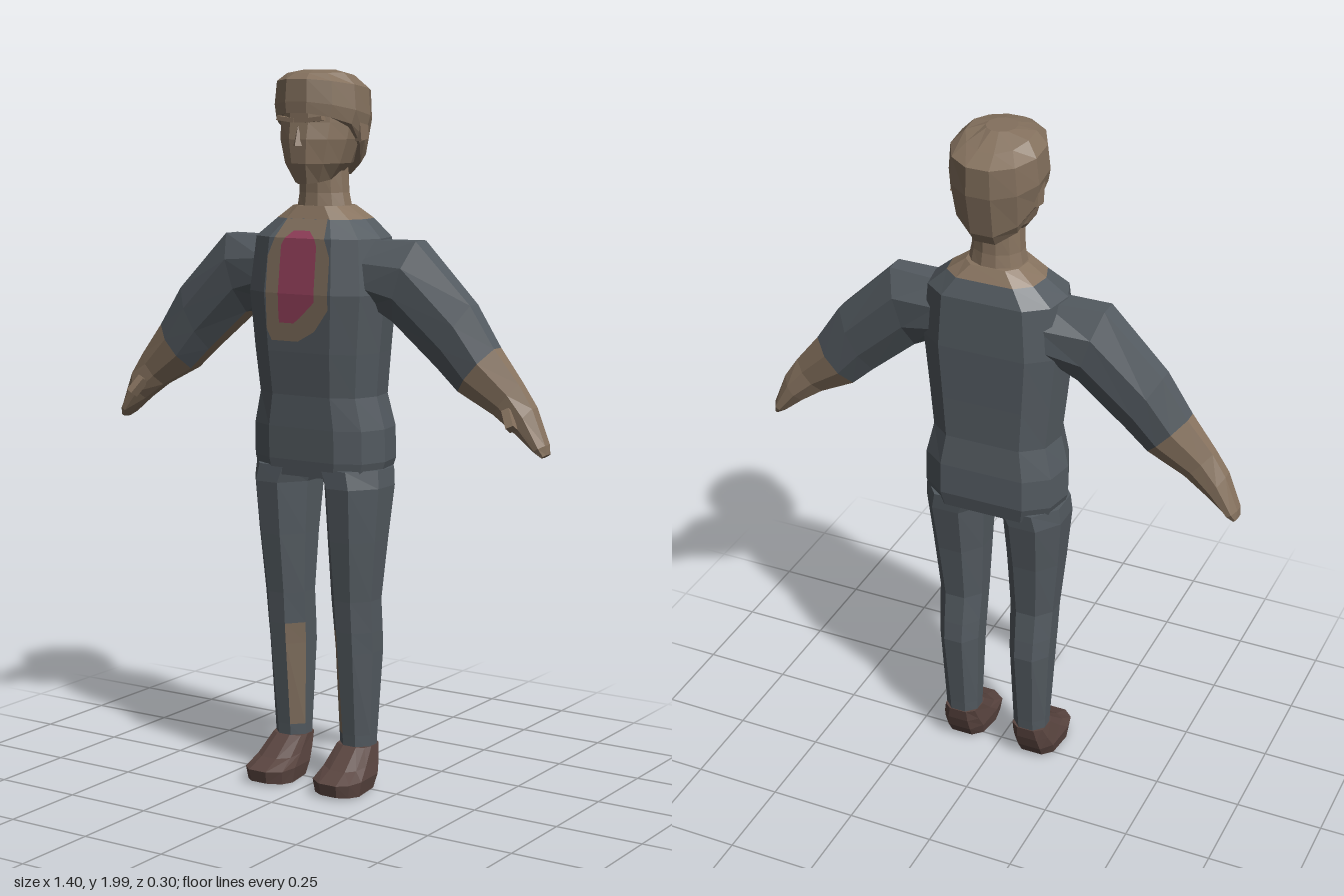
import * as THREE from 'three';

const mat = (name, color) => {
  const m = new THREE.MeshStandardMaterial({ color });
  m.name = name;
  return m;
};

// Cross-sections as [x, z] factors, running from +x towards +z
const BODY = [[1, .1], [.86, .72], [.52, 1], [-.52, 1], [-.86, .72], [-1, .1], [-.92, -.6], [-.6, -1], [.6, -1], [.92, -.6]];
const LEG = [[1, .35], [.4, 1], [-.4, 1], [-1, .35], [-1, -.4], [-.45, -1], [.45, -1], [1, -.4]];
const SHOE = [[1, .3], [.85, .75], [.45, 1], [-.35, 1], [-.9, .72], [-1, .2], [-.9, -.65], [-.5, -1], [.5, -1], [.9, -.65]];
const ROUND = Array.from({ length: 12 }, (_, j) => {
  const a = (j + .5) * Math.PI / 6;
  return [Math.cos(a) / .966, Math.sin(a) / .966];
});

// Ring around the y axis; the height may differ at the front and the back
function ring(section, y, cx, half, front, back, yFront = y, yBack = y) {
  return section.map(([sx, sz]) => new THREE.Vector3(
    cx + sx * half,
    sz > 0 ? y + (yFront - y) * sz : y - (yBack - y) * sz,
    (front + back) / 2 + sz * (front - back) / 2));
}

// Closed faceted skin over rings; pick(i, j) gives the material index of a face
function loft(name, rings, materials, pick = () => 0) {
  const lists = materials.map(() => []);
  const n = rings[0].length, last = rings.length - 1;
  let volume = 0;
  const tri = (m, a, b, c) => {
    volume += a.dot(b.clone().cross(c));
    lists[m].push([a, b, c]);
  };
  for (let i = 0; i < last; i++) {
    for (let j = 0; j < n; j++) {
      const k = (j + 1) % n, m = pick(i, j);
      tri(m, rings[i][j], rings[i + 1][j], rings[i + 1][k]);
      tri(m, rings[i][j], rings[i + 1][k], rings[i][k]);
    }
  }
  const centre = r => r.reduce((s, p) => s.add(p), new THREE.Vector3()).divideScalar(n);
  const c0 = centre(rings[0]), c1 = centre(rings[last]);
  for (let j = 0; j < n; j++) {
    const k = (j + 1) % n;
    tri(pick(-1, j), c0, rings[0][j], rings[0][k]);
    tri(pick(last, j), c1, rings[last][k], rings[last][j]);
  }
  const points = [], geo = new THREE.BufferGeometry();
  lists.forEach((list, m) => {
    geo.addGroup(points.length, list.length * 3, m);
    for (const [a, b, c] of list) points.push(a, ...(volume < 0 ? [c, b] : [b, c]));
  });
  geo.setFromPoints(points);
  geo.computeVertexNormals();
  const mesh = new THREE.Mesh(geo, materials);
  mesh.name = name;
  return mesh;
}

// Torso rows: height, half width, front z, back z
const TORSO = [
  [.895, .19, .095, -.13], [.94, .204, .1, -.14], [1.03, .203, .102, -.138], [1.12, .18, .102, -.128],
  [1.24, .192, .113, -.13], [1.4, .208, .121, -.134], [1.55, .192, .105, -.13], [1.6, .135, .065, -.11],
  [1.635, .082, .05, -.088]];

function frontZ(y) {
  const i = Math.max(1, TORSO.findIndex(r => r[0] >= y));
  const [a, b] = [TORSO[i - 1], TORSO[i]];
  return a[2] + (b[2] - a[2]) * (y - a[0]) / (b[0] - a[0]);
}

// Thin patch lying on the chest; rows are height, left x, right x
function chestPatch(name, rows, lift, material) {
  const pts = [];
  for (let i = 0; i + 1 < rows.length; i++) {
    const [a, b, c, d] = [[rows[i], 1], [rows[i], 2], [rows[i + 1], 2], [rows[i + 1], 1]]
      .map(([r, s]) => new THREE.Vector3(r[s], r[0], frontZ(r[0]) + lift));
    pts.push(a, b, c, a, c, d);
  }
  const geo = new THREE.BufferGeometry().setFromPoints(pts);
  geo.computeVertexNormals();
  const mesh = new THREE.Mesh(geo, material);
  mesh.name = name;
  return mesh;
}

export function createModel() {
  const model = new THREE.Group();
  model.name = 'person';
  const suit = mat('suit grey', 0x535a60);
  const skin = mat('skin brown', 0x87735f);
  const hair = mat('hair brown', 0x83705d);
  const shoe = mat('shoe brown', 0x5a4540);
  const sole = mat('sole grey', 0x464a4f);
  const patch = mat('patch tan', 0x7d6c5b);
  const pink = mat('emblem pink', 0x923f5a);

  const box = (name, w, h, d, x, y, z, material, rz = 0, rx = 0) => {
    const m = new THREE.Mesh(new THREE.BoxGeometry(w, h, d), material);
    m.position.set(x, y, z);
    m.rotation.set(rx, 0, rz);
    m.name = name;
    model.add(m);
  };

  // Torso with a bare collar
  model.add(loft('torso', TORSO.map(([y, w, f, b]) => ring(BODY, y, 0, w, f, b)), [suit, skin], i => (i >= 7 ? 1 : 0)));
  model.add(chestPatch('chestPatch', [
    [1.27, -.085, 0], [1.3, -.1, .055], [1.36, -.1, .1], [1.4, -.1, .1], [1.5, -.1, .1],
    [1.55, -.08, .08], [1.6, -.065, .065]], .003, patch));
  model.add(chestPatch('chestEmblem', [
    [1.32, -.056, -.01], [1.335, -.058, .01], [1.38, -.058, .058], [1.4, -.058, .058],
    [1.53, -.056, .058], [1.55, -.045, .05], [1.57, -.025, .025]], .006, pink));

  // Neck and head
  model.add(loft('neck', [
    ring(ROUND, 1.62, 0, .08, .05, -.087), ring(ROUND, 1.67, 0, .07, .046, -.08),
    ring(ROUND, 1.74, 0, .066, .05, -.08)], [skin]));
  model.add(loft('head', [
    ring(ROUND, 1.71, 0, .052, .092, -.07, 1.695, 1.72), ring(ROUND, 1.75, 0, .084, .112, -.095),
    ring(ROUND, 1.815, 0, .104, .116, -.115), ring(ROUND, 1.86, 0, .108, .108, -.12),
    ring(ROUND, 1.94, 0, .105, .108, -.12)], [skin]));
  model.add(loft('hair', [
    ring(ROUND, 1.835, 0, .108, .112, -.105, 1.895, 1.715), ring(ROUND, 1.845, 0, .118, .123, -.125, 1.885, 1.745),
    ring(ROUND, 1.885, 0, .127, .124, -.148, 1.915, 1.86), ring(ROUND, 1.955, 0, .12, .12, -.15, 1.975, 1.94),
    ring(ROUND, 1.993, 0, .088, .095, -.1, 1.99, 1.965), ring(ROUND, 2, 0, .04, .05, -.04)], [hair]));
  const nose = new THREE.ConeGeometry(.016, .055, 4).toNonIndexed();
  nose.computeVertexNormals();
  const noseMesh = new THREE.Mesh(nose, skin);
  noseMesh.position.set(0, 1.825, .113);
  noseMesh.name = 'nose';
  model.add(noseMesh);

  for (const s of [1, -1]) {
    const side = s > 0 ? 'left' : 'right';
    box(side + 'Brow', .055, .012, .02, s * .045, 1.868, .1, skin, s * .12);
    box(side + 'Ear', .02, .065, .04, s * .113, 1.845, -.025, skin, 0, .15);

    // Arm rows: top x and y, bottom x and y, front z, back z
    const armRows = [
      [.14, 1.545, .17, 1.37, .07, -.1], [.31, 1.548, .24, 1.33, .055, -.08], [.475, 1.385, .375, 1.215, .042, -.066],
      [.548, 1.275, .44, 1.155, .038, -.06], [.62, 1.185, .545, 1.1, .024, -.046], [.66, 1.125, .61, 1.055, .026, -.05],
      [.698, 1.03, .665, 1.01, .02, -.048], [.7, 1.005, .687, .995, .008, -.035]];
    const armRings = armRows.map(([tx, ty, bx, by, f, b]) => LEG.map(([u, w]) => {
      const t = (w + 1) / 2;
      return new THREE.Vector3(s * (bx + (tx - bx) * t), by + (ty - by) * t, (f + b) / 2 + u * (f - b) / 2);
    }));
    // Bare forearm and a bare strip under the sleeve
    model.add(loft(side + 'Arm', armRings, [suit, skin], (i, j) => (i >= 3 || (i >= 1 && j === 5) ? 1 : 0)));
    box(side + 'Thumb', .022, .055, .03, s * .612, 1.095, .038, skin, s * .5, -.5);

    // Leg rows: height, inner x, outer x, front z, back z
    const legRows = [
      [.11, .06, .158, .022, -.07], [.16, .058, .16, .026, -.074], [.4, .05, .172, .05, -.098], [.46, .048, .174, .056, -.092],
      [.55, .045, .176, .064, -.08], [.72, .037, .192, .084, -.1], [.87, .028, .205, .1, -.125], [.92, .004, .2, .097, -.13]];
    const inner = s > 0 ? 2 : 0;
    model.add(loft(side + 'Leg', legRows.map(([y, a, b, f, k]) => ring(LEG, y, s * (a + b) / 2, (b - a) / 2, f, k)),
      [suit, patch], (i, j) => ((i === 1 || i === 2) && j === inner ? 1 : 0)));

    // Shoe with a dark sole
    const mirrored = SHOE.map(([x, z]) => [x * s, z]);
    model.add(loft(side + 'Shoe', [
      ring(mirrored, .005, s * .114, .064, .142, -.035, .015, .015), ring(mirrored, .05, s * .114, .07, .15, -.055),
      ring(mirrored, .085, s * .112, .062, .095, -.068, .075, .09), ring(mirrored, .128, s * .109, .053, .026, -.074)],
      [shoe, sole], i => (i < 0 ? 1 : 0)));
  }
  return model;
}
